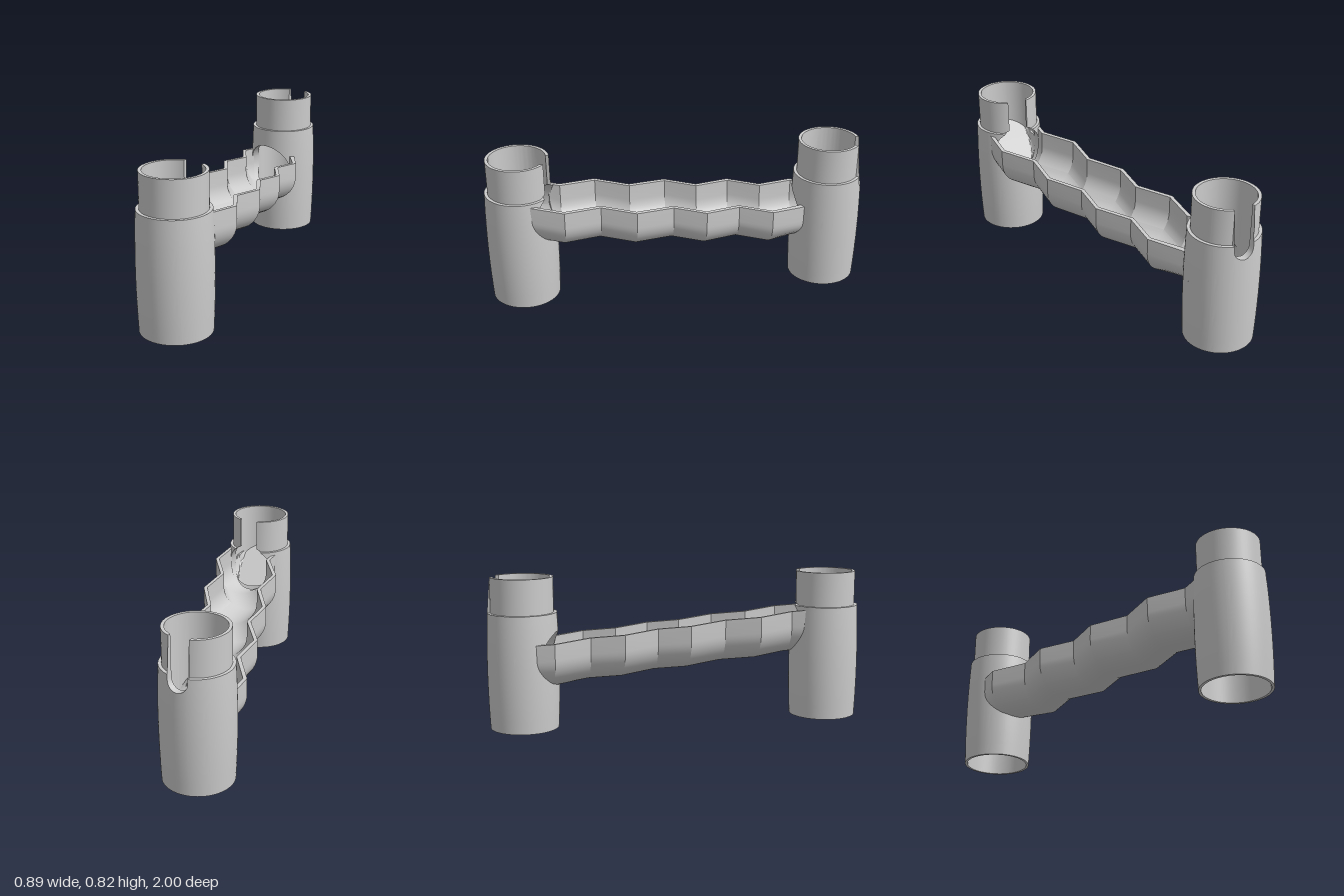
import * as THREE from 'three';
import { toCreasedNormals } from 'three/addons/utils/BufferGeometryUtils.js';

const material = new THREE.MeshStandardMaterial({ color: 0xcccccc });
const sheet = new THREE.MeshStandardMaterial({ color: 0xcccccc, side: THREE.DoubleSide });

const TX = 0.25, TZ = 0.807;              // tower centres at +-(TX, TZ)
const TOP = 0.82, SHOULDER = 0.63;
const NECK = 0.168, BORE = 0.151, SOCKET = 0.171;
const HOLE = 0.14, SLOT = 0.055, SLOT_END = 0.605;
const axisY = z => 0.454 + 0.0975 * z;    // sloping centre line of the trough
const bodyR = y => 0.193 - 0.008 * ((y - 0.315) / 0.315) ** 2;

// Collects triangles, leaving out collapsed ones
function pushQuad(out, a, b, c, d) {
  const t = new THREE.Triangle();
  for (const [p, q, r] of [[a, b, c], [a, c, d]]) {
    t.set(p, q, r);
    if (t.getArea() > 1e-9) for (const v of [p, q, r]) out.push(v.x, v.y, v.z);
  }
}

function toMesh(name, positions, crease) {
  const g = new THREE.BufferGeometry();
  g.setAttribute('position', new THREE.Float32BufferAttribute(positions, 3));
  const mesh = new THREE.Mesh(toCreasedNormals(g, crease), material);
  mesh.name = name;
  return mesh;
}

// Column offsets across one half of a tower, denser around the openings
function columnOffsets() {
  const half = [0.018, 0.036, 0.046, 0.052, SLOT, SLOT + 0.0001];
  for (let k = 4; k <= 12; k++) half.push(HOLE * Math.sin(k * Math.PI / 24));
  for (let k = 1; k <= 8; k++) half.push(HOLE + 0.06 * k / 8);
  return [...half.map(u => -u).reverse(), 0, ...half];
}

// Point on the tower wall: parallel-sided offsets near the openings, angles elsewhere
function wallPoint({ u, side }, r, y) {
  const a = Math.abs(u), edge = Math.asin(HOLE / r);
  const angle = a <= HOLE ? Math.asin(a / r)
    : THREE.MathUtils.lerp(edge, Math.PI / 2, Math.min(1, (a - HOLE) / 0.06));
  return new THREE.Vector3(Math.sign(u) * r * Math.sin(angle), y, side * r * Math.cos(angle));
}

// Tower wall with a round trough opening and a slot at the back
function tower(name, holeSide) {
  const c = axisY(-holeSide * 0.65);
  const gap = ({ u, side }) => {
    const a = Math.abs(u), hole = side === holeSide;
    let lo = hole || side === 1 ? c : SLOT_END, hi = lo;
    if (hole && a < HOLE) {
      const h = Math.sqrt(HOLE * HOLE - a * a);
      lo = c - h;
      hi = c + h;
    }
    if (side === -1 && a <= SLOT) {
      hi = TOP;
      if (!hole) lo = SLOT_END - Math.sqrt(SLOT * SLOT - a * a);
    }
    return { lo, hi };
  };
  const us = columnOffsets();
  const columns = [...us.map(u => ({ u, side: 1 })), ...us.slice().reverse().map(u => ({ u, side: -1 }))];
  const levels = [0, 0.07, 0.14, 0.21, 0.28, 0.35, 0.42, 0.49, 0.56, 0.6];

  const rings = columns.map(col => {
    const { lo, hi } = gap(col);
    const p = (r, y) => wallPoint(col, r, y);
    // below the opening: outside upwards, then the bore and socket downwards
    const lower = levels.map(l => Math.min(l, lo)).concat(lo).map(y => p(bodyR(y), y));
    const lowerCap = lower.length - 1;
    lower.push(p(BORE, lo), p(BORE, 0.22), p(SOCKET, 0.2), p(SOCKET, 0));
    // above the opening: body, shoulder, neck, rim, then the bore
    const upper = [hi, ...levels.map(l => Math.max(l, hi)), Math.max(SHOULDER, hi)]
      .map(y => p(y > SHOULDER ? NECK : bodyR(y), y));
    upper.push(p(NECK, Math.max(SHOULDER, hi)), p(NECK, TOP), p(BORE, TOP), p(BORE, hi));
    return { lower, lowerCap, upper, open: hi - lo > 1e-6, cutThrough: hi >= TOP };
  });

  const out = [];
  rings.forEach((a, i) => {
    const b = rings[(i + 1) % rings.length];
    const open = a.open || b.open;
    const loop = (key, cap) => {
      const n = a[key].length;
      for (let j = 0; j < n; j++) {
        if (j === cap && !open) continue;
        const k = (j + 1) % n;
        pushQuad(out, a[key][j], b[key][j], b[key][k], a[key][k]);
      }
    };
    loop('lower', a.lowerCap);
    if (!(a.cutThrough && b.cutThrough)) loop('upper', a.upper.length - 1);
  });
  const mesh = toMesh(name, out, 0.5);
  mesh.position.set(-holeSide * TX, 0, -holeSide * TZ);
  return mesh;
}

// Zigzag U-shaped trough with mitred bends, trimmed to both towers
function trough() {
  const R = 0.155, r = 0.135, rim = 0.088, N = 24;
  const profile = [[-R, rim]];
  for (let i = 0; i <= N; i++) {
    const a = Math.PI * i / N;
    profile.push([-R * Math.cos(a), -R * Math.sin(a)]);
  }
  profile.push([R, rim], [r, rim]);
  for (let i = N; i >= 0; i--) {
    const a = Math.PI * i / N;
    profile.push([-r * Math.cos(a), -r * Math.sin(a)]);
  }
  profile.push([-r, rim]);

  const trim = d => TZ - Math.sqrt(0.182 ** 2 - d * d);
  const bends = [[-0.25, -0.65], [-0.125, -0.485], [-0.125, -0.30], [0, -0.14],
    [0, 0.04], [0.125, 0.215], [0.125, 0.41], [0.25, 0.575]];
  const stations = [
    { x: -TX, z: d => -trim(d) },
    ...bends.map(([x, z], i) => ({ x, z: d => Math.max(z - 0.35 * d, i ? -9 : -trim(d)) })),
    { x: TX, z: trim },
  ];
  const sections = stations.map(s => profile.map(([d, h]) => {
    const z = s.z(d);
    return new THREE.Vector3(s.x + d, axisY(z) + h, z);
  }));

  const out = [], n = profile.length;
  for (let i = 0; i + 1 < sections.length; i++) {
    const a = sections[i], b = sections[i + 1];
    for (let j = 0; j < n; j++) {
      const k = (j + 1) % n;
      pushQuad(out, a[j], a[k], b[k], b[j]);
    }
  }
  // end faces between the outer and inner U
  const first = sections[0], last = sections[sections.length - 1];
  for (let j = 0; j < n / 2 - 1; j++) {
    const o = n - 1 - j;
    pushQuad(out, first[j], first[o], first[o - 1], first[j + 1]);
    pushQuad(out, last[j], last[j + 1], last[o - 1], last[o]);
  }
  return toMesh('trough', out, 0.45);
}

// Ramp inside the front tower: a sloped floor blending into the half pipe
function ramp() {
  const g = new THREE.RingGeometry(0.001, 0.153, 64, 20).rotateX(-Math.PI / 2);
  const p = g.attributes.position;
  for (let i = 0; i < p.count; i++) {
    const d = p.getX(i), z = p.getZ(i) + TZ;
    const pipe = axisY(z) - Math.sqrt(Math.max(0, 0.136 ** 2 - d * d));
    p.setY(i, Math.max(pipe, 0.395 + 0.6 * (z - 0.65)));
  }
  const mesh = new THREE.Mesh(toCreasedNormals(g, 0.5), sheet);
  mesh.name = 'ramp';
  mesh.position.set(TX, 0, TZ);
  return mesh;
}

export function createModel() {
  const group = new THREE.Group();
  group.name = 'marbleRunPiece';
  group.add(tower('frontTower', -1), tower('backTower', 1), trough(), ramp());
  return group;
}
